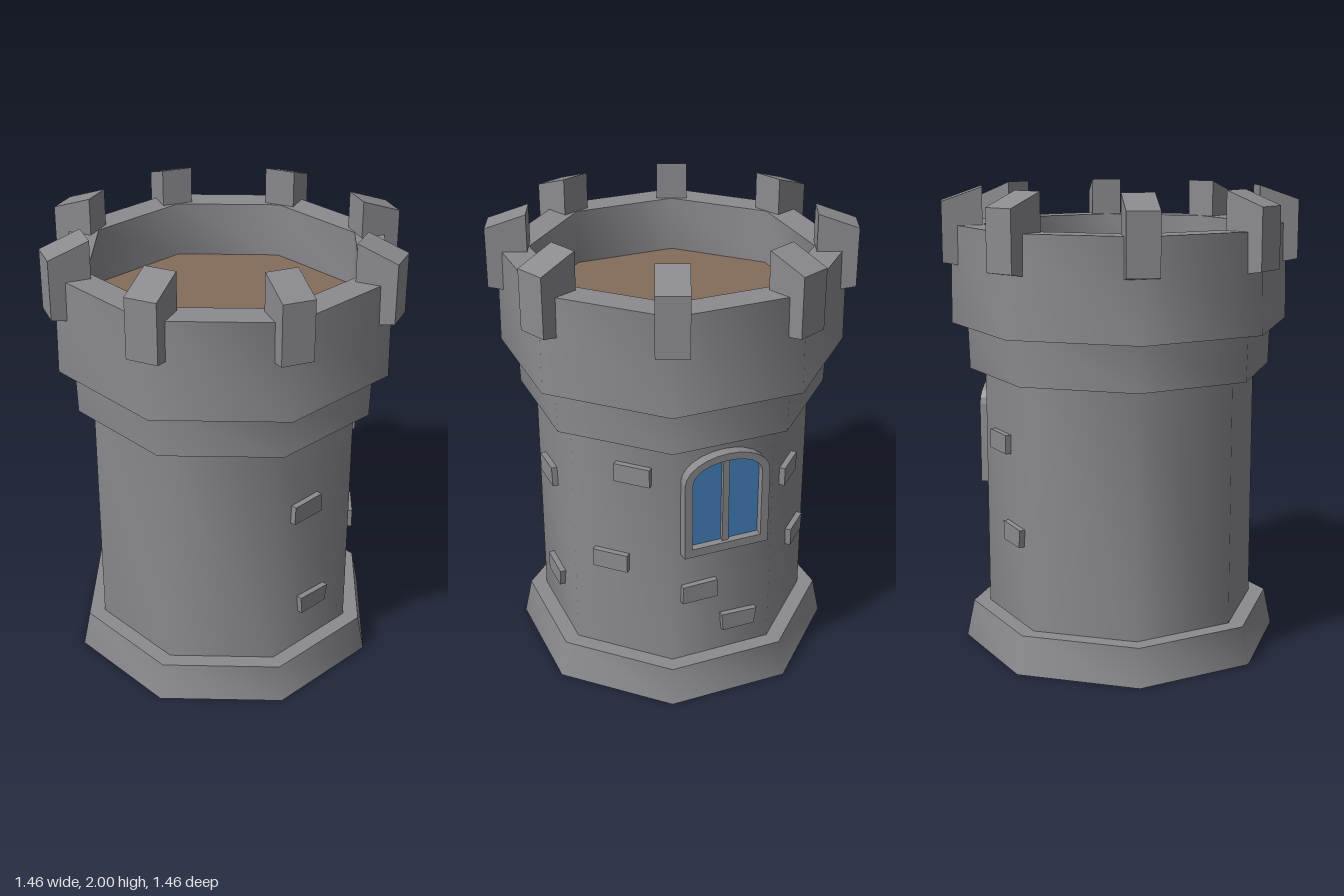
import * as THREE from 'three';
import { toCreasedNormals } from 'three/addons/utils/BufferGeometryUtils.js';

const stone = new THREE.MeshStandardMaterial({ color: 0x8b8a8f });
stone.name = 'stone';
const wood = new THREE.MeshStandardMaterial({ color: 0x846c5b });
wood.name = 'wood floor';
const glass = new THREE.MeshStandardMaterial({ color: 0x4682c0 });
glass.name = 'window glass';

const SHAFT = 0.545; // centre to flat side
const CORNER = 1 / Math.cos(Math.PI / 8); // flat distance to corner distance

function add(parent, name, geometry, material) {
  const mesh = new THREE.Mesh(geometry, material);
  mesh.name = name;
  parent.add(mesh);
  return mesh;
}

// Eight-sided ring from a profile of [flat distance, height], bottom to top
function octagon(profile) {
  const pts = profile.map(([r, y]) => new THREE.Vector2(r * CORNER, y));
  return toCreasedNormals(new THREE.LatheGeometry(pts, 8, Math.PI / 8), 0.9);
}

function polygon(points) {
  return new THREE.Shape(points.map(([x, y]) => new THREE.Vector2(x, y)));
}

function extrude(shape, depth) {
  return new THREE.ExtrudeGeometry(shape, { depth, bevelEnabled: false, curveSegments: 6 });
}

// Arched outline: half width, sill height, height of the arch start, arch rise
function arch(w, sill, spring, rise) {
  const s = new THREE.Shape();
  s.moveTo(-w, sill);
  s.lineTo(w, sill);
  s.lineTo(w, spring);
  s.absellipse(0, spring, w, rise, 0, Math.PI, false, 0);
  s.lineTo(-w, sill);
  return s;
}

export function createModel() {
  const tower = new THREE.Group();
  tower.name = 'tower';

  // Body, stacked from the ground up
  add(tower, 'base', octagon([[0, 0], [0.643, 0], [0.612, 0.162], [0.53, 0.162]]), stone);
  add(tower, 'shaft', octagon([[SHAFT, 0.15], [SHAFT, 1.23]]), stone);
  add(tower, 'collar', octagon([[0.53, 1.22], [0.607, 1.22], [0.613, 1.425]]), stone);
  add(tower, 'parapet', octagon([
    [0.6, 1.42], [0.675, 1.42], [0.669, 1.84], [SHAFT, 1.84], [SHAFT, 1.59],
  ]), stone);
  add(tower, 'floor', octagon([[0.55, 1.6], [0, 1.6]]), wood);

  // Battlement blocks on the eight corners, tops sloping outward
  const block = extrude(polygon([[0.592, 1.655], [0.763, 1.685], [0.763, 1.94], [0.592, 2]]), 0.134);
  block.translate(0, 0, -0.067);
  for (let i = 0; i < 8; i++) {
    add(tower, 'battlement', block, stone).rotation.y = (i + 0.5) * Math.PI / 4;
  }

  // Raised bricks: side in eighths of a turn from the front, offset, height, corner skew
  const bricks = [
    [2, -0.06, 0.87, 0.008], [2, 0, 0.38, -0.012],
    [3, 0.055, 1.06, 0], [3, -0.05, 0.62, 0],
    [5, -0.054, 0.93, 0], [5, 0.075, 0.55, -0.01],
    [4, -0.11, 0.5, 0.006], [4, 0.08, 0.31, -0.012],
  ];
  for (const [side, x, y, skew] of bricks) {
    const w = 0.079, h = 0.041;
    const shape = polygon([[-w, -h], [w + skew, -h], [w, h + skew / 2], [-w + skew / 2, h]]);
    const geometry = extrude(shape, 0.035);
    geometry.translate(x, y, SHAFT - 0.01);
    add(tower, 'brick', geometry, stone).rotation.y = side * Math.PI / 4;
  }

  // Arched window on the back
  const windowGroup = new THREE.Group();
  windowGroup.name = 'window';
  windowGroup.rotation.y = Math.PI;
  tower.add(windowGroup);
  const frame = arch(0.19, 0.7, 1.05, 0.112);
  frame.holes.push(arch(0.155, 0.738, 1.05, 0.08));
  add(windowGroup, 'windowFrame', extrude(frame, 0.055), stone).position.z = SHAFT - 0.01;
  const pane = new THREE.ShapeGeometry(arch(0.16, 0.73, 1.05, 0.085), 6);
  add(windowGroup, 'windowPane', pane, glass).position.z = SHAFT + 0.012;
  const bar = add(windowGroup, 'windowBar', new THREE.BoxGeometry(0.028, 0.4, 0.035), stone);
  bar.position.set(0, 0.93, SHAFT + 0.012);

  return tower;
}
